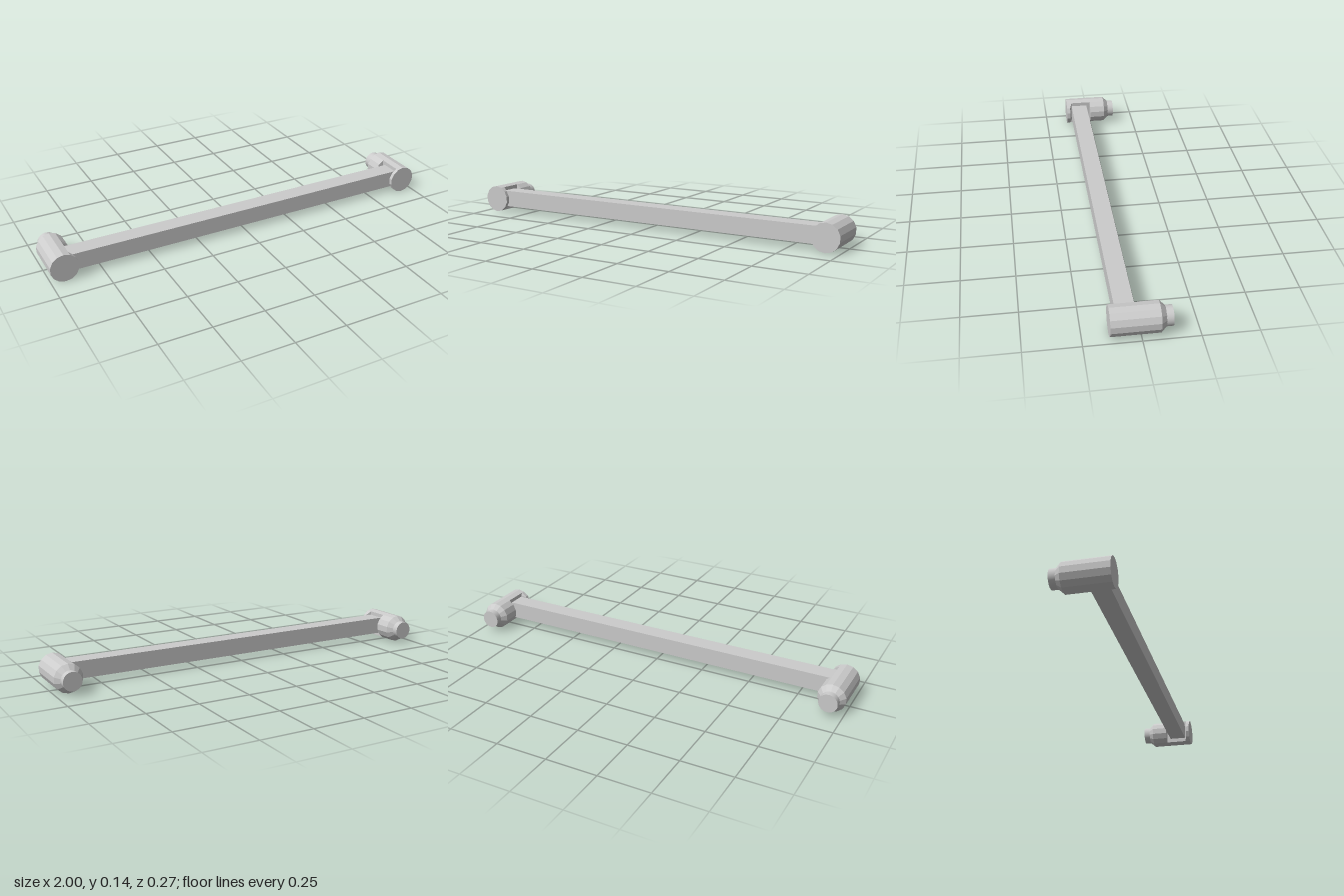
import * as THREE from 'three';

const material = new THREE.MeshStandardMaterial({ color: 0xcccccc, flatShading: true });
const smooth = new THREE.MeshStandardMaterial({ color: 0xcccccc });

const POST_X = 0.933, POST_Y = 0.07, SLOT_DEPTH = 0.03;

// 14-sided post along z, tapered at the back, with a slot facing the bar
function postGeometry(side) {
  // [radius, z, inside the slot]
  const rings = [
    [0, -0.105], [0.045, -0.105], [0.069, -0.08], [0.069, 0],
    [0.069, 0.002, true], [0.069, 0.107, true],
    [0.069, 0.117], [0.069, 0.135], [0, 0.135],
  ];
  const lathe = new THREE.LatheGeometry(rings.map(([r, z]) => new THREE.Vector2(r, z)), 14);
  lathe.rotateX(Math.PI / 2);
  const position = lathe.attributes.position;
  for (let i = 0; i < position.count; i++) {
    if (!rings[i % rings.length][2]) continue;
    const outward = Math.max(position.getX(i) * side, -SLOT_DEPTH);
    position.setX(i, outward * side);
  }
  const geometry = lathe.toNonIndexed();
  geometry.computeVertexNormals();
  return geometry;
}

export function createModel() {
  const model = new THREE.Group();
  model.name = 'barHandle';

  // Square grip bar, seated in both slots
  const bar = new THREE.Mesh(new THREE.BoxGeometry(1.808, 0.084, 0.086), material);
  bar.name = 'gripBar';
  bar.position.set(0, 0.071, 0.063);
  model.add(bar);

  // End posts with a round mounting neck at the back
  for (const side of [1, -1]) {
    const mount = new THREE.Group();
    mount.name = side > 0 ? 'leftMount' : 'rightMount';
    mount.position.set(POST_X * side, POST_Y, 0);

    const post = new THREE.Mesh(postGeometry(side), material);
    post.name = 'post';

    const neck = new THREE.Mesh(new THREE.CylinderGeometry(0.045, 0.045, 0.035, 32), smooth);
    neck.name = 'mountingNeck';
    neck.rotation.x = Math.PI / 2;
    neck.position.z = -0.1175;

    mount.add(post, neck);
    model.add(mount);
  }
  return model;
}
